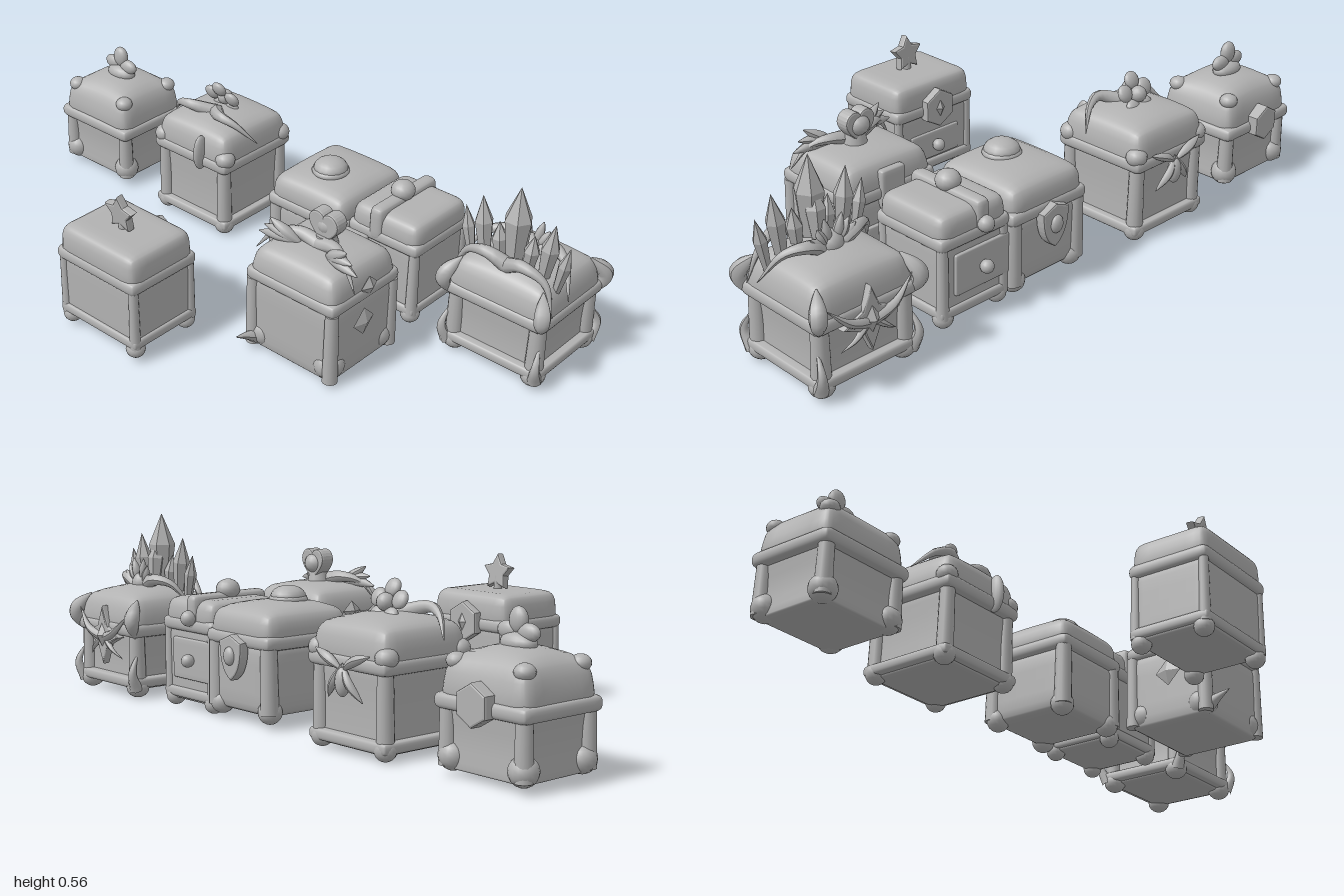
import * as THREE from 'three';
import { mergeVertices } from 'three/addons/utils/BufferGeometryUtils.js';

const V = (x, y, z) => new THREE.Vector3(x, y, z);
const stone = new THREE.MeshStandardMaterial({ color: 0xb2b2b2 });
stone.name = 'plain grey';

function add(parent, name, geo, x = 0, y = 0, z = 0) {
  const m = new THREE.Mesh(geo, stone);
  m.name = name;
  m.position.set(x, y, z);
  parent.add(m);
  return m;
}

// Soft rounded block: taper narrows the top, waist pinches the middle, crown domes the lid
function softBox(w, h, d, r, { taper = 0, waist = 0, crown = 0, pinch = 0 } = {}) {
  let g = new THREE.BoxGeometry(2, 2, 2, 12, 8, 12);
  g.deleteAttribute('uv');
  g.deleteAttribute('normal');
  g = mergeVertices(g, 1e-5);
  const p = g.attributes.position, v = V(), c = V();
  // Rows crowd towards the edges so that the rounding stays smooth
  const spread = (u, size) => Math.sin(u * Math.PI / 2) * size / 2;
  const clamp = (u, size) => THREE.MathUtils.clamp(u, r - size / 2, size / 2 - r);
  for (let i = 0; i < p.count; i++) {
    v.set(spread(p.getX(i), w), spread(p.getY(i), h), spread(p.getZ(i), d));
    c.set(clamp(v.x, w), clamp(v.y, h), clamp(v.z, d));
    v.sub(c).normalize().multiplyScalar(r).add(c);
    const a = 2 * v.x / w, b = 2 * v.z / d, t = v.y / h + 0.5;
    const k = 1 - taper * t * t - waist * (1 - (2 * t - 1) ** 2);
    v.x *= k * (1 - pinch * t * (1 - b * b));
    v.z *= k * (1 - pinch * t * (1 - a * a));
    if (t > 0.5) v.y += crown * (2 * t - 1) * (1 - a * a) * (1 - b * b);
    p.setXYZ(i, v.x, v.y, v.z);
  }
  g.computeVertexNormals();
  return g;
}

const ball = (r, sx = 1, sy = 1, sz = 1) => new THREE.SphereGeometry(r, 16, 10).scale(sx, sy, sz);

// Tapered tube through points; radius swells in the middle or shrinks to a tip
function horn(points, r, rule = t => 1 - 0.95 * t) {
  const curve = new THREE.CatmullRomCurve3(points.map(p => V(...p)));
  const n = 14, s = 8, g = new THREE.TubeGeometry(curve, n, r, s), p = g.attributes.position, v = V();
  for (let i = 0; i <= n; i++) {
    const c = curve.getPointAt(i / n);
    for (let j = 0; j <= s; j++) {
      const k = i * (s + 1) + j;
      v.fromBufferAttribute(p, k).sub(c).multiplyScalar(rule(i / n)).add(c);
      p.setXYZ(k, v.x, v.y, v.z);
    }
  }
  g.computeVertexNormals();
  return g;
}
const swell = t => 0.08 + 0.92 * Math.sin(Math.PI * t);

// Flat emblem facing +x, cut from a drawn outline
function emblem(shape, depth) {
  const g = new THREE.ExtrudeGeometry(shape, { depth, bevelSize: 0.006, bevelThickness: 0.006, bevelSegments: 2, curveSegments: 8 });
  return g.translate(0, 0, -depth / 2).rotateY(Math.PI / 2);
}
function polygon(n, r, inner = r) {
  const count = inner === r ? n : n * 2;
  return new THREE.Shape(Array.from({ length: count }, (_, i) => {
    const a = Math.PI / 2 + i * 2 * Math.PI / count, q = i % 2 ? inner : r;
    return new THREE.Vector2(q * Math.cos(a), q * Math.sin(a));
  }));
}
function heart(r) {
  const s = new THREE.Shape();
  s.moveTo(0, -r);
  s.bezierCurveTo(r * 0.6, -r * 0.5, r * 1.2, 0, r, r * 0.5);
  s.bezierCurveTo(r * 0.8, r, r * 0.2, r, 0, r * 0.55);
  s.bezierCurveTo(-r * 0.2, r, -r * 0.8, r, -r, r * 0.5);
  s.bezierCurveTo(-r * 1.2, 0, -r * 0.6, -r * 0.5, 0, -r);
  return s;
}
function shield(w, h) {
  const s = new THREE.Shape();
  s.moveTo(0, -h);
  s.quadraticCurveTo(w, -h * 0.6, w, h * 0.7);
  s.lineTo(0, h);
  s.lineTo(-w, h * 0.7);
  s.quadraticCurveTo(-w, -h * 0.6, 0, -h);
  return s;
}
const gem = (sx, sy, sz) => new THREE.OctahedronGeometry(1).scale(sx, sy, sz);

// Shared chest: body, lid, rim, corner posts and feet. Its front faces +x
function chest(name, o) {
  const g = new THREE.Group();
  g.name = name;
  g.position.set(o.x, 0, o.z);
  const { w, d, y0, mid, top, foot, post, inset = 0.02, lidR = 0.035, footTall = 1, footY = 0.002 } = o;
  const bw = w - 2 * inset, bd = d - 2 * inset;
  add(g, 'body', softBox(bw, mid - y0 + 0.02, bd, o.bodyR ?? 0.015, { waist: o.waist }), 0, (mid + y0) / 2, 0);
  add(g, 'lid', softBox(w - 0.01, top - mid, d - 0.01, lidR, { taper: o.taper, crown: o.crown, pinch: o.pinch }), 0, (top + mid) / 2, 0);
  add(g, 'lidRim', softBox(w, 0.045, d, 0.02), 0, mid + 0.015, 0);
  if (o.base) add(g, 'baseRim', softBox(w - 0.005, 0.035, d - 0.005, 0.014), 0, y0 + 0.015, 0);
  for (const sx of [-1, 1]) for (const sz of [-1, 1]) {
    const px = sx * (bw / 2 - post * 0.5), pz = sz * (bd / 2 - post * 0.5);
    add(g, 'cornerPost', new THREE.CylinderGeometry(post, post * 1.15, mid - y0, 14), px, (mid + y0) / 2, pz);
    add(g, 'foot', ball(foot, 1, footTall, 1), sx * (w / 2 - foot), foot * footTall + footY, sz * (d / 2 - foot));
  }
  return g;
}

// Rounded drawer front with a knob
function drawer(g, x, y, w, h, z = 0) {
  add(g, 'drawerPanel', softBox(0.016, h, w, 0.007), x, y, z);
  add(g, 'drawerKnob', ball(0.02), x + 0.022, y, z);
}

export function createModel() {
  const model = new THREE.Group();
  model.name = 'chestCollection';

  // Pillow-lidded chest with a clover crest
  const clover = chest('cloverChest', { x: 0.31, z: -0.84, w: 0.29, d: 0.32, y0: 0.03, mid: 0.18, top: 0.31, foot: 0.04, footY: 0.015, post: 0.022, taper: 0.1, crown: 0.03, pinch: 0.08, waist: 0.06, lidR: 0.045 });
  for (const s of [-1, 1]) {
    add(clover, 'cloverLeaf', ball(0.03, 0.6, 0.8, 1.2), 0, 0.37, s * 0.034);
    for (const t of [-1, 1]) add(clover, 'lidCorner', ball(0.028, 1, 0.8, 1), s * 0.1, 0.295, t * 0.115);
  }
  add(clover, 'cloverTip', ball(0.032, 0.6, 1.1, 0.9), 0, 0.398, 0);
  add(clover, 'crestBase', ball(0.04, 0.9, 0.7, 1.4), 0, 0.342, 0);
  add(clover, 'hexLock', emblem(polygon(6, 0.05), 0.03), 0.147, 0.205, 0);

  // Flower chest with a bowed garland and leaf lock
  const flower = chest('flowerChest', { x: 0.32, z: -0.375, w: 0.32, d: 0.32, y0: 0.025, mid: 0.235, top: 0.35, foot: 0.032, post: 0.022, taper: 0.1, crown: 0.025, waist: 0.04, base: true });
  const bloom = new THREE.Group();
  bloom.name = 'flower';
  bloom.position.set(0.005, 0.395, 0);
  bloom.rotation.z = 0.45;
  flower.add(bloom);
  for (let i = 0; i < 5; i++) {
    const a = Math.PI / 2 + i * Math.PI * 0.4;
    add(bloom, 'petal', ball(0.027, 0.55, 1, 1), 0, 0.045 * Math.sin(a), 0.045 * Math.cos(a));
  }
  add(bloom, 'flowerCentre', ball(0.025), 0.01, 0, 0);
  for (const s of [-1, 1]) {
    add(flower, 'garland', horn([[-0.03, 0.36, 0], [-0.08, 0.385, s * 0.07], [-0.07, 0.37, s * 0.12], [-0.03, 0.31, s * 0.18]], 0.026));
    add(flower, 'lockLeaf', horn([[0.165, 0.23, 0], [0.172, 0.26, s * 0.05], [0.165, 0.28, s * 0.11]], 0.014, swell));
    add(flower, 'lowerLeaf', horn([[0.165, 0.25, 0], [0.17, 0.2, s * 0.03], [0.155, 0.15, s * 0.07]], 0.012, swell));
    for (const t of [-1, 1]) add(flower, 'lidCorner', ball(0.032, 1, 0.9, 1), s * 0.13, 0.275, t * 0.135);
  }
  add(flower, 'lockDrop', ball(0.025, 0.8, 1.6, 0.9), 0.165, 0.2, 0);
  add(flower, 'sideLeaf', ball(0.03, 1, 2, 0.5), -0.155, 0.28, 0.05);

  // Plain chest with a star on its lid
  const star = chest('starChest', { x: -0.38, z: -0.095, w: 0.26, d: 0.325, y0: 0.05, mid: 0.24, top: 0.35, foot: 0.029, footTall: 0.95, footY: 0.012, post: 0.014, inset: 0.012, taper: 0.04, base: true });
  add(star, 'star', emblem(polygon(5, 0.05, 0.026), 0.016), -0.012, 0.4, 0).rotation.z = 0.1;
  add(star, 'starStem', new THREE.CylinderGeometry(0.012, 0.014, 0.05, 12), -0.008, 0.365, 0);
  add(star, 'hexLock', emblem(polygon(6, 0.056), 0.018), 0.134, 0.26, 0);
  add(star, 'lockGem', gem(0.012, 0.03, 0.018), 0.148, 0.26, 0);
  drawer(star, 0.118, 0.13, 0.2, 0.09);

  // Broad chest with a button on its lid and a shield lock
  const broad = chest('shieldChest', { x: 0.3, z: 0.13, w: 0.32, d: 0.3, y0: 0.045, mid: 0.235, top: 0.335, foot: 0.036, footY: 0.015, post: 0.024, inset: 0.014, taper: 0.05, crown: 0.02, lidR: 0.04, bodyR: 0.03 });
  add(broad, 'lidButton', ball(0.053, 1, 0.62, 1), -0.035, 0.36, 0);
  add(broad, 'buttonRing', new THREE.TorusGeometry(0.046, 0.012, 8, 28).rotateX(Math.PI / 2), -0.035, 0.352, 0);
  add(broad, 'shieldPlate', emblem(shield(0.045, 0.06), 0.02), 0.165, 0.2, 0);
  add(broad, 'shieldBoss', ball(0.025, 0.6, 1.1, 0.9), 0.181, 0.205, 0);

  // Strapped chest with a ball on its lid and a drawer
  const strap = chest('strapChest', { x: 0.31, z: 0.4, w: 0.27, d: 0.26, y0: 0.035, mid: 0.245, top: 0.34, foot: 0.03, post: 0.016, inset: 0.012, taper: 0.04, base: true });
  add(strap, 'lidStrap', softBox(0.275, 0.11, 0.05, 0.02), 0, 0.3, -0.025);
  add(strap, 'lidBall', ball(0.037, 1, 0.85, 1), -0.005, 0.362, -0.025);
  add(strap, 'strapClasp', ball(0.024), 0.142, 0.285, -0.025);
  drawer(strap, 0.125, 0.157, 0.2, 0.125, -0.025);

  // Winged heart chest with bulging feet
  const love = chest('heartChest', { x: -0.065, z: 0.38, w: 0.3, d: 0.33, y0: 0.015, mid: 0.24, top: 0.345, foot: 0.046, footY: 0.004, post: 0.02, inset: 0.01, taper: 0.13, crown: 0.015, bodyR: 0.025 });
  add(love, 'heart', emblem(heart(0.045), 0.035), 0.005, 0.415, 0.01);
  add(love, 'heartBulge', ball(0.036, 1, 0.9, 1), 0.012, 0.415, 0.01);
  add(love, 'heartStem', new THREE.CylinderGeometry(0.03, 0.04, 0.05, 16), 0, 0.362, 0.01);
  for (const s of [-1, 1]) {
    add(love, 'ribbon', horn([[-0.02, 0.36, 0], [-0.03, 0.375, s * 0.07], [-0.06, 0.36, s * 0.13], [-0.08, 0.3, s * 0.18]], 0.025));
    for (let i = 0; i < 3; i++)
      add(love, 'wingFeather', horn([[-0.04, 0.345, s * 0.04], [-0.06, 0.36 + i * 0.012, s * 0.1], [-0.07, 0.35 + i * 0.03, s * (0.18 - i * 0.02)]], 0.017, swell));
    add(love, 'sideDiamond', gem(0.045, 0.045, 0.014), -0.007, 0.165, s * 0.16);
    add(love, 'lidDiamond', gem(0.035, 0.032, 0.016), 0.008, 0.278, s * 0.162);
  }
  add(love, 'frontLock', softBox(0.03, 0.12, 0.09, 0.012), 0.142, 0.265, 0);
  drawer(love, 0.145, 0.115, 0.2, 0.1);
  add(love, 'hindSpike', horn([[-0.12, 0.03, -0.13], [-0.16, 0.05, -0.135], [-0.21, 0.068, -0.14]], 0.025));

  // Crystal-crowned chest
  const crystal = chest('crystalChest', { x: 0.32, z: 0.805, w: 0.32, d: 0.34, y0: 0.035, mid: 0.2, top: 0.315, foot: 0.036, footTall: 0.9, post: 0.024, inset: 0.022, taper: 0.13, crown: 0.03, waist: 0.05, base: true });
  const shard = (r, h) => {
    const pts = [[0, 0], [0.55, 0], [1, 0.6], [0.001, 1]].map(([a, b]) => new THREE.Vector2(a * r, b * h));
    const g = new THREE.LatheGeometry(pts, 6).toNonIndexed();
    g.computeVertexNormals();
    return g;
  };
  [[0, 0.042, 0.25, 0], [0.045, 0.024, 0.13, 0.1], [0.095, 0.028, 0.2, 0.12], [0.14, 0.02, 0.16, 0.2]].forEach(([z, r, h, tilt], i) => {
    for (const s of i ? [-1, 1] : [1])
      add(crystal, 'crystal', shard(r, h), -0.066, 0.315 - i * 0.01, s * z).rotation.x = s * tilt;
  });
  add(crystal, 'frontCrystal', shard(0.03, 0.17), -0.035, 0.32, 0).rotation.z = 0.1;
  add(crystal, 'crestBall', ball(0.036), 0.01, 0.345, 0);
  for (const s of [-1, 1]) {
    add(crystal, 'crestHorn', horn([[0.01, 0.335, s * 0.03], [0.02, 0.36, s * 0.07], [-0.01, 0.35, s * 0.13], [-0.06, 0.27, s * 0.18]], 0.024));
    add(crystal, 'backScroll', horn([[-0.1, 0.33, 0], [-0.12, 0.36, s * 0.06], [-0.11, 0.33, s * 0.13], [-0.12, 0.24, s * 0.17]], 0.024));
    for (let i = 0; i < 4; i++)
      add(crystal, 'crestLeaf', horn([[0.01, 0.335, s * 0.015], [0.02, 0.35 + i * 0.008, s * (0.06 - i * 0.014)], [0.025, 0.36 + i * 0.022, s * (0.095 - i * 0.022)]], 0.014, swell));
    add(crystal, 'lockWing', horn([[0.155, 0.18, 0], [0.17, 0.205, s * 0.07], [0.16, 0.265, s * 0.14]], 0.02));
    add(crystal, 'lockLeaf', horn([[0.155, 0.19, 0], [0.165, 0.15, s * 0.05], [0.15, 0.12, s * 0.09]], 0.015));
    for (const t of [-1, 1]) {
      add(crystal, 'cornerLeaf', horn([[t * 0.14, 0.19, s * 0.15], [t * 0.162, 0.25, s * 0.165], [t * 0.12, 0.31, s * 0.135]], 0.024, swell));
      add(crystal, 'footLeaf', horn([[t * 0.14, 0.03, s * 0.15], [t * 0.16, 0.085, s * 0.16], [t * 0.13, 0.15, s * 0.15]], 0.022));
    }
  }
  add(crystal, 'starLock', emblem(polygon(4, 0.085, 0.035), 0.014), 0.155, 0.19, 0);
  add(crystal, 'lockGem', gem(0.025, 0.05, 0.035), 0.162, 0.19, 0);

  model.add(clover, flower, star, broad, strap, love, crystal);
  return model;
}
